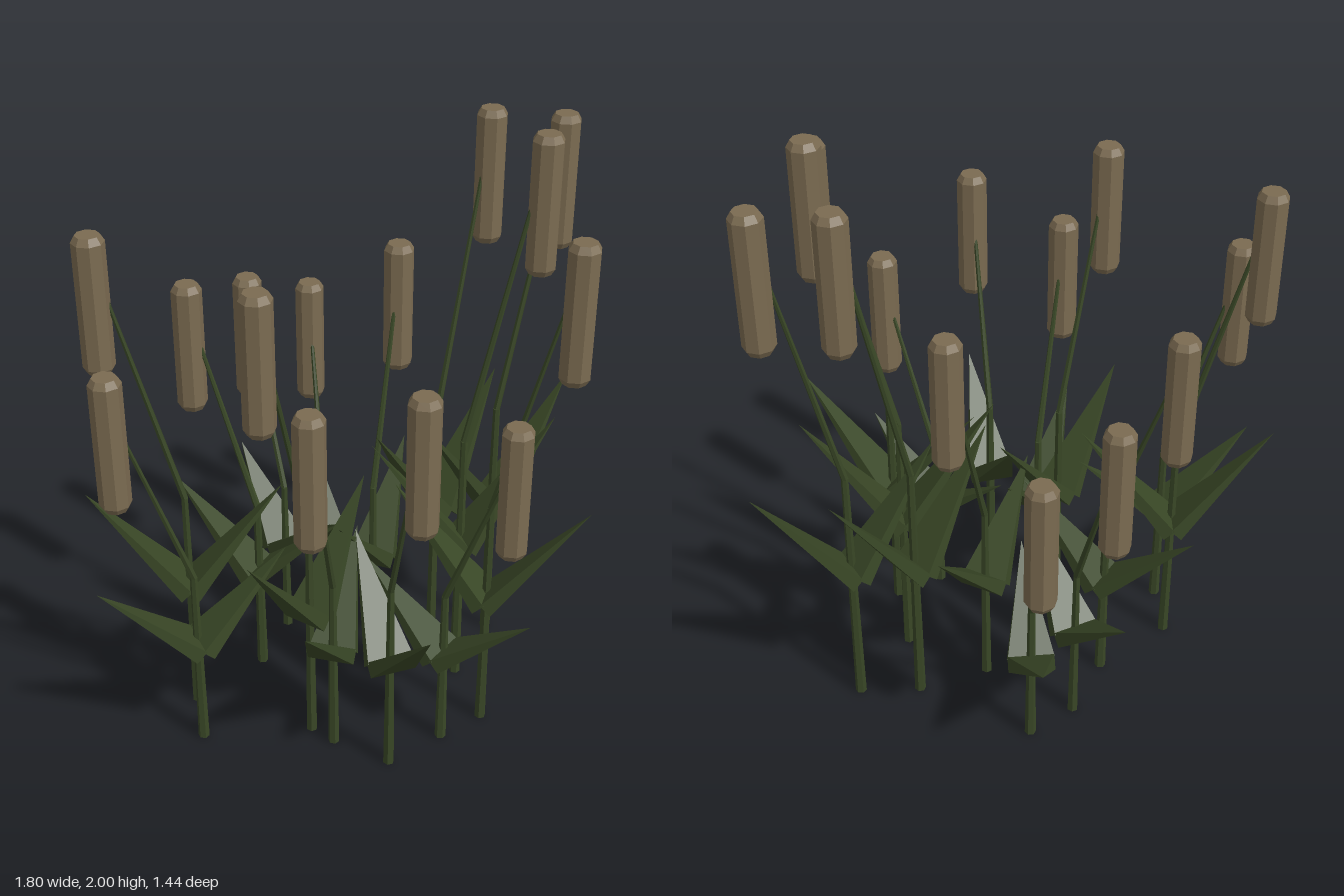
import * as THREE from 'three';

const green = new THREE.MeshStandardMaterial({ color: 0x394726, flatShading: true });
green.name = 'reed green';
const brown = new THREE.MeshStandardMaterial({ color: 0x7b6b51, flatShading: true });
brown.name = 'seed head brown';

const HEAD_HEIGHT = 0.455;
const HEAD_REACH = 0.228; // seed head distance from its stem
const LEAF_REACH = 0.318; // leaf tip distance from its stem

// Each reed: seed head x, z, top height, then stem x, z
const reeds = [
  [0.0, -0.635, 1.34, -0.015, -0.41],
  [0.26, -0.64, 1.245, 0.165, -0.43],
  [-0.32, -0.485, 1.46, -0.21, -0.28],
  [-0.71, -0.35, 1.78, -0.51, -0.235],
  [-0.815, -0.105, 1.45, -0.59, -0.06],
  [0.34, -0.225, 1.525, 0.15, -0.1],
  [0.62, -0.115, 1.96, 0.395, -0.065],
  [0.805, 0.03, 1.945, 0.578, 0.03],
  [0.535, 0.245, 2.0, 0.32, 0.17],
  [-0.485, 0.205, 1.75, -0.27, 0.125],
  [-0.425, 0.37, 1.42, -0.245, 0.22],
  [-0.215, 0.63, 1.53, -0.155, 0.41],
  [0.135, 0.63, 1.31, 0.065, 0.41],
  [0.38, 0.59, 1.815, 0.24, 0.41],
];

function addMesh(parent, name, geometry, material) {
  const mesh = new THREE.Mesh(geometry, material);
  mesh.name = name;
  parent.add(mesh);
  return mesh;
}

// Tapered six-sided rod between two points
function rod(a, b, ra, rb) {
  const dir = b.clone().sub(a);
  const g = new THREE.CylinderGeometry(rb, ra, dir.length(), 6);
  g.applyQuaternion(new THREE.Quaternion().setFromUnitVectors(new THREE.Vector3(0, 1, 0), dir.normalize()));
  const mid = a.clone().add(b).multiplyScalar(0.5);
  return g.translate(mid.x, mid.y, mid.z);
}

// Wedge leaf rising along +x from a wide base to a point
function leafGeometry(nodeY, tipY) {
  const w = 0.077;
  const low = [0.03, nodeY], high = [-0.006, nodeY + 0.036];
  const p = [
    [low[0], low[1], -w], [low[0], low[1], w],
    [high[0], high[1], w], [high[0], high[1], -w],
    [LEAF_REACH, tipY, 0],
  ];
  const faces = [[0, 1, 2], [0, 2, 3], [1, 0, 4], [2, 1, 4], [3, 2, 4], [0, 3, 4]];
  const g = new THREE.BufferGeometry();
  g.setAttribute('position', new THREE.Float32BufferAttribute(faces.flat().flatMap((i) => p[i]), 3));
  g.computeVertexNormals();
  return g;
}

// Eight-sided seed head with bevelled ends
function headGeometry() {
  const h = HEAD_HEIGHT / 2;
  const profile = [[0, -h], [0.038, -h], [0.051, -h + 0.022], [0.051, h - 0.022], [0.038, h], [0, h]];
  return new THREE.LatheGeometry(profile.map(([x, y]) => new THREE.Vector2(x, y)), 8);
}

export function createModel() {
  const model = new THREE.Group();
  model.name = 'reedClump';
  const headShape = headGeometry();

  for (const [hx, hz, top, sx, sz] of reeds) {
    const mid = top - HEAD_HEIGHT / 2;
    const angle = Math.atan2(hz - sz, hx - sx);
    const reach = Math.hypot(hx - sx, hz - sz);

    // Built leaning along +x, then turned to face outward
    const reed = new THREE.Group();
    reed.name = 'reed';
    reed.position.set(sx, 0, sz);
    reed.rotation.y = -angle;
    model.add(reed);

    const bend = new THREE.Vector3(0, mid * 0.545, 0);
    const end = new THREE.Vector3(HEAD_REACH - 0.025, mid * 1.04, 0);
    addMesh(reed, 'lowerStem', rod(new THREE.Vector3(), bend, 0.019, 0.012), green);
    addMesh(reed, 'upperStem', rod(bend, end, 0.012, 0.006), green);

    const leaf = leafGeometry(mid * 0.31, mid * 0.567);
    addMesh(reed, 'outerLeaf', leaf, green);
    addMesh(reed, 'innerLeaf', leaf, green).rotation.y = Math.PI;

    const head = addMesh(reed, 'seedHead', headShape, brown);
    head.position.set(reach, mid, 0);
    head.rotation.y = angle + Math.PI / 8;
  }
  return model;
}
